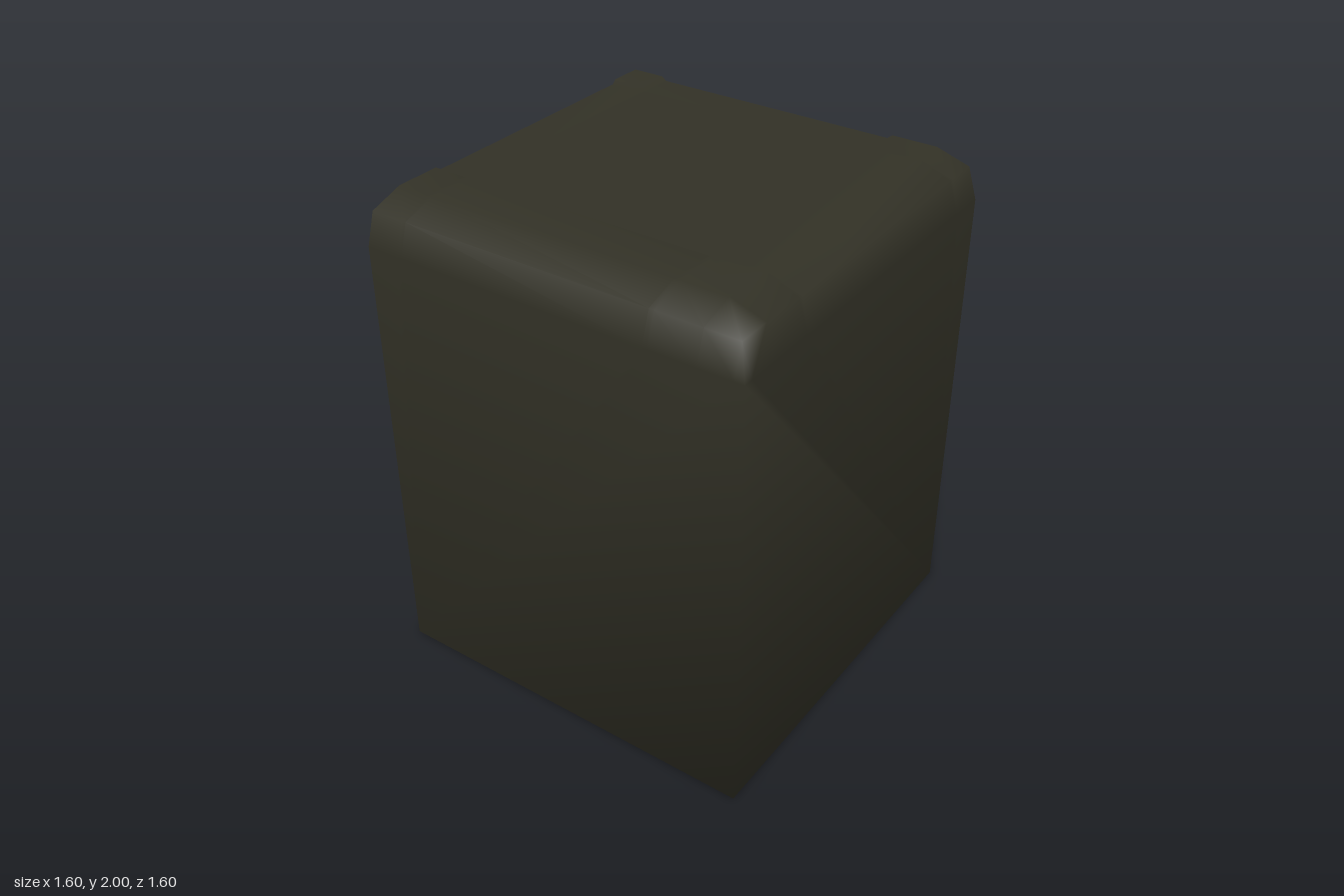
import * as THREE from 'three';

// Open shell: floor, front wall, right wall and a top with rolled edges,
// welded into one smooth sheet.
export function createModel() {
  const group = new THREE.Group();
  const darkOlive = new THREE.MeshStandardMaterial({ color: 0x323126, side: THREE.DoubleSide });
  darkOlive.name = 'darkOlive';

  // Stations across the top, used for x and mirrored for z
  const stations = [-0.8, -0.76, -0.62, -0.43, -0.41, 0.64, 0.66, 0.8];
  const rolled = [1.83, 1.955, 2, 2, 2, 2, 2, 2];
  const n = stations.length;
  const positions = [];
  const index = [];

  // Rolled strips meet in a mitre; the panel between them is slightly sunk
  function topHeight(i, j) {
    if (i < 4 || j < 4) return Math.min(rolled[i], rolled[j]);
    return i > 5 && j > 5 ? 2 : 1.984;
  }
  const at = (i, j) => j * n + i;
  for (let j = 0; j < n; j++) {
    for (let i = 0; i < n; i++) positions.push(stations[i], topHeight(i, j), -stations[j]);
  }
  for (let j = 0; j < n - 1; j++) {
    for (let i = 0; i < n - 1; i++) {
      index.push(at(i, j), at(i + 1, j), at(i + 1, j + 1));
      index.push(at(i, j), at(i + 1, j + 1), at(i, j + 1));
    }
  }

  // Floor corners
  const inner = n * n, frontEnd = inner + 1, sideEnd = inner + 2, outer = inner + 3;
  positions.push(-0.8, 0, 0.8, 0.8, 0, 0.8, -0.8, 0, -0.8, 0.8, 0, -0.8);
  index.push(inner, sideEnd, outer, inner, outer, frontEnd);

  // Walls fan up from the floor to the rolled edges
  for (let k = 0; k < n - 1; k++) {
    index.push(frontEnd, at(k + 1, 0), at(k, 0));
    index.push(sideEnd, at(0, k), at(0, k + 1));
  }
  index.push(frontEnd, at(0, 0), inner, sideEnd, inner, at(0, 0));

  const geometry = new THREE.BufferGeometry();
  geometry.setAttribute('position', new THREE.Float32BufferAttribute(positions, 3));
  geometry.setIndex(index);
  geometry.computeVertexNormals();

  const shell = new THREE.Mesh(geometry, darkOlive);
  shell.name = 'openShell';
  group.add(shell);
  return group;
}
